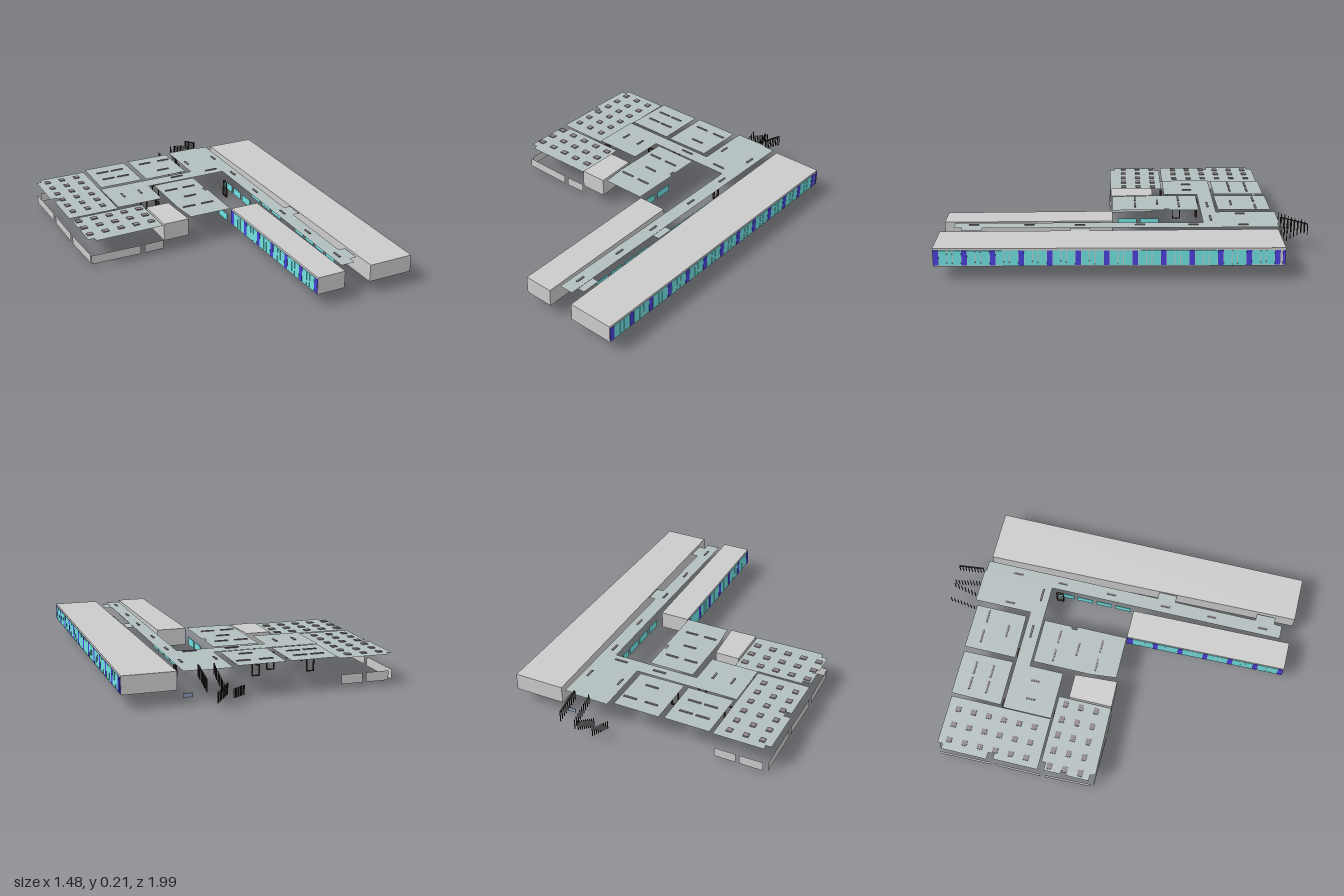
import * as THREE from 'three';

const mat = (color, side = THREE.FrontSide) => new THREE.MeshStandardMaterial({ color, side });
const GREY = mat(0xcccccc), SHEET = mat(0xcccccc, THREE.DoubleSide);
const ROOF = mat(0xb3bebe, THREE.DoubleSide);
const SKYLIGHT = mat(0x8d858a), DARK = mat(0x2a2322), FRAME = mat(0x35221c);
const TEAL = mat(0x70e0e0), BLUE = mat(0x4a40dd);

export function createModel() {
  const model = new THREE.Group();
  model.name = 'schoolComplex';

  const add = (name, geometry, material, parent = model) => {
    const mesh = new THREE.Mesh(geometry, material);
    mesh.name = name;
    parent.add(mesh);
    return mesh;
  };
  const box = (name, w, h, d, x, y, z, material, parent) => {
    const mesh = add(name, new THREE.BoxGeometry(w, h, d), material, parent);
    mesh.position.set(x, y, z);
    return mesh;
  };
  // Plan outlines are given as [x, z] corners
  const plan = (pts) => new THREE.Shape(pts.map(([x, z]) => new THREE.Vector2(x, -z)));
  const roof = (name, y, pts) =>
    add(name, new THREE.ShapeGeometry(plan(pts)).rotateX(-Math.PI / 2), ROOF).position.y = y;
  const block = (name, y0, y1, pts) =>
    add(name, new THREE.ExtrudeGeometry(plan(pts), { depth: y1 - y0, bevelEnabled: false })
      .rotateX(-Math.PI / 2), GREY).position.y = y0;
  const rect = (x0, z0, x1, z1) => [[x0, z0], [x1, z0], [x1, z1], [x0, z1]];
  // Group whose local x axis runs along a wall line in plan
  const along = (name, [x0, z0], [x1, z1]) => {
    const g = new THREE.Group();
    g.name = name;
    g.position.set(x0, 0, z0);
    g.rotation.y = Math.atan2(z0 - z1, x1 - x0);
    model.add(g);
    return { g, length: Math.hypot(x1 - x0, z1 - z0) };
  };

  // Solid classroom blocks
  block('longBlock', 0.08, 0.178, [[0.455, -0.82], [0.74, -0.82], [0.737, 0.99], [0.482, 0.99]]);
  block('innerBlock', 0.08, 0.178, [[0.147, 0.07], [0.315, 0.07], [0.33, 0.985], [0.167, 0.985]]);
  block('smallBlock', 0.075, 0.177, [[-0.283, -0.163], [-0.145, -0.163], [-0.13, 0.08], [-0.283, 0.083]]);

  // Window bands: blue panels at a fixed pitch with three panes between
  const windowBand = (name, a, b) => {
    const { g, length } = along(name, a, b);
    const pitch = 0.146, panel = 0.028;
    for (let s = 0.002; s < length - 0.003; s += pitch) {
      const w = Math.min(panel, length - s);
      box('bluePanel', w, 0.08, 0.006, s + w / 2, 0.126, 0, BLUE, g);
      for (const [from, to] of [[0.03, 0.07], [0.074, 0.098], [0.102, 0.144]]) {
        if (s + to < length) box('pane', to - from, 0.08, 0.005, s + (from + to) / 2, 0.126, 0, TEAL, g);
      }
    }
    box('endPanel', 0.014, 0.08, 0.006, length - 0.008, 0.126, 0, BLUE, g);
  };
  windowBand('longBlockWindows', [0.737, 0.99], [0.74, -0.82]);
  windowBand('innerBlockWindows', [0.167, 0.985], [0.147, 0.07]);

  // Flat roofs
  roof('backHallRoof', 0.17, [[-0.74, -0.78], [-0.71, -0.78], [-0.71, -0.81], [-0.43, -0.81], [-0.43, -0.23],
    [-0.73, -0.23], [-0.73, -0.485], [-0.7, -0.485], [-0.7, -0.52], [-0.74, -0.52]]);
  roof('frontHallRoof', 0.17, [[-0.725, -0.195], [-0.68, -0.195], [-0.68, -0.22], [-0.29, -0.22], [-0.29, 0.083],
    [-0.685, 0.09], [-0.69, 0.06], [-0.725, 0.06], [-0.725, -0.07], [-0.7, -0.07], [-0.7, -0.1], [-0.725, -0.1]]);
  roof('backRoomRoof', 0.18, [[-0.415, -0.815], [-0.157, -0.815], [-0.155, -0.525], [-0.42, -0.525]]);
  roof('backCentreRoomRoof', 0.18, [[-0.128, -0.82], [0.135, -0.82], [0.135, -0.525], [-0.128, -0.52]]);
  roof('centreRoomRoof', 0.18, [[-0.125, -0.415], [0.135, -0.415], [0.135, -0.25], [0.12, -0.25], [0.12, -0.22],
    [0.14, -0.22], [0.14, 0.07], [-0.11, 0.07], [-0.125, -0.08]]);
  roof('corridorRoof', 0.178, [[0.165, -0.84], [0.36, -0.84], [0.36, -0.83], [0.425, -0.83], [0.425, 0.925],
    [0.345, 0.925], [0.343, -0.425], [-0.155, -0.425], [-0.155, -0.23], [-0.43, -0.23], [-0.43, -0.51], [0.165, -0.51]]);
  roof('frontLinkRoof', 0.177, rect(0.425, 0.77, 0.465, 0.88));
  roof('backLinkRoof', 0.177, rect(0.425, 0.19, 0.465, 0.295));

  // Square skylights over the halls
  for (const x of [-0.68, -0.59, -0.498])
    for (let r = 0; r < 6; r++) box('skylight', 0.03, 0.006, 0.03, x, 0.174, -0.75 + r * 0.0885, SKYLIGHT);
  for (let c = 0; c < 5; c++)
    for (let r = 0; r < 3; r++) box('skylight', 0.036, 0.006, 0.028, -0.695 + c * 0.092, 0.174, -0.17 + r * 0.0875, SKYLIGHT);

  // Slim roof lights: [x, z] running across, then [x, z] running lengthways
  for (const [x, z] of [[-0.335, -0.725], [-0.24, -0.725], [-0.335, -0.625], [-0.24, -0.625], [-0.045, -0.74],
    [0.08, -0.74], [0.02, -0.607], [0.05, -0.47], [0.285, -0.47], [-0.06, -0.307], [0.055, -0.307], [0.005, -0.185],
    [-0.06, -0.058], [0.055, -0.058]]) box('roofLight', 0.075, 0.005, 0.01, x, 0.184, z, SKYLIGHT);
  for (const [x, z] of [[0.198, -0.64], [0.385, -0.64], [-0.345, -0.37], [-0.235, -0.37], [0.385, -0.37],
    [0.385, -0.08], [0.385, 0.245], [0.385, 0.52], [0.385, 0.82]])
    box('roofLight', 0.01, 0.005, 0.053, x, 0.181, z, SKYLIGHT);

  // Low outer walls around the halls, with gaps between
  const lowWall = (a, b) => {
    const { g, length } = along('lowWall', a, b);
    add('wallSheet', new THREE.PlaneGeometry(length, 0.052), SHEET, g).position.set(length / 2, 0.055, 0);
  };
  lowWall([-0.72, 0.085], [-0.43, 0.09]);
  lowWall([-0.405, 0.09], [-0.29, 0.085]);
  lowWall([-0.73, -0.19], [-0.72, 0.07]);
  lowWall([-0.73, -0.48], [-0.73, -0.22]);
  lowWall([-0.735, -0.8], [-0.73, -0.51]);
  lowWall([-0.71, -0.81], [-0.58, -0.81]);
  lowWall([-0.56, -0.81], [-0.44, -0.81]);

  // Window strips of the corridor and centre room: x, start z, end z
  for (const [x, z0, z1] of [[0.343, -0.4, 0.06], [0.424, 0.32, 0.75], [0.424, -0.2, 0.17], [0.138, -0.2, 0.05]]) {
    const n = Math.round((z1 - z0) / 0.11), step = (z1 - z0) / n;
    for (let i = 0; i < n; i++)
      box('corridorPane', 0.004, 0.042, step - 0.02, x, 0.109, z0 + (i + 0.5) * step, TEAL);
  }
  box('entrancePanel', 0.05, 0.022, 0.004, 0.4, 0.05, -0.82, mat(0x8c96b4));

  // Door frames: [x, z, turned sideways]
  for (const [x, z, turned] of [[-0.385, -0.52, 0], [-0.07, -0.52, 0], [-0.385, -0.222, 0], [-0.19, -0.425, 0],
    [-0.428, -0.285, 1], [-0.153, -0.305, 1], [0.34, -0.38, 1]]) {
    const g = new THREE.Group();
    g.name = 'doorFrame';
    g.position.set(x, 0.03, z);
    g.rotation.y = turned * Math.PI / 2;
    model.add(g);
    for (const s of [-1, 1]) box('jamb', 0.004, 0.1, 0.012, s * 0.02, 0.05, 0, FRAME, g);
    for (const y of [0.002, 0.098]) box('crossPiece', 0.044, 0.004, 0.012, 0, y, 0, FRAME, g);
  }

  // Back stair railings: two flights of pickets doubling back
  const railing = (x, y0, y1, height) => {
    for (let i = 0; i < 9; i++) {
      const t = i / 8;
      box('picket', 0.004, height, 0.004, x, y0 + (y1 - y0) * t + height / 2, -0.845 - 0.15 * t, DARK);
    }
  };
  railing(0.165, 0.02, 0.08, 0.05);
  railing(0.25, 0, 0.09, 0.06);
  railing(0.27, 0.15, 0.09, 0.06);
  railing(0.355, 0.15, 0.11, 0.06);
  const { g, length } = along('handrail', [0.355, -0.845], [0.355, -0.995]);
  box('rail', length, 0.005, 0.008, length / 2, 0.19, 0, DARK, g).rotation.z = -0.26;

  return model;
}
